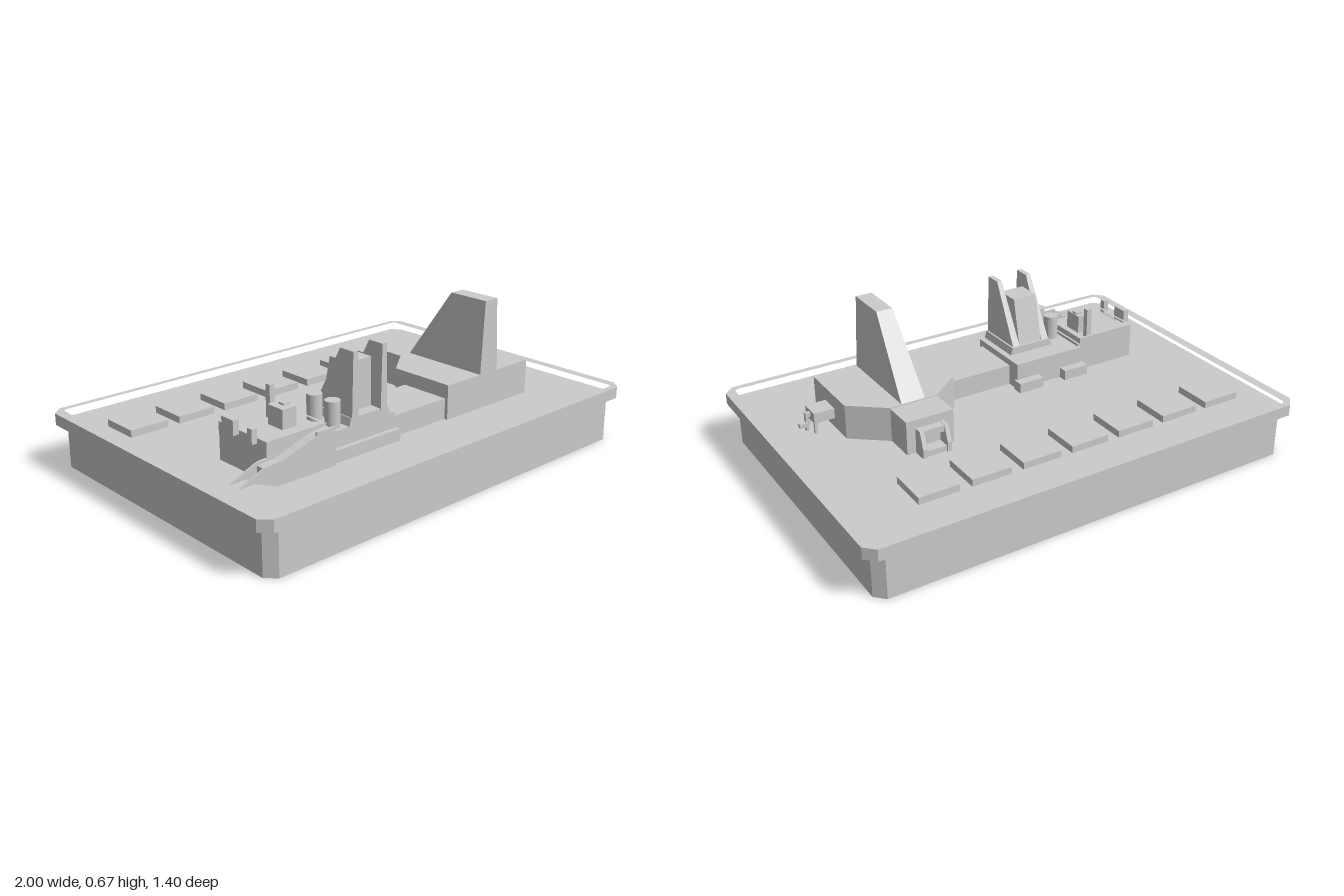
import * as THREE from 'three';

const mat = new THREE.MeshStandardMaterial({ color: 0xcccccc, flatShading: true });
const FLOOR = 0.2;

function add(parent, name, geo) {
  const m = new THREE.Mesh(geo, mat);
  m.name = name;
  parent.add(m);
  return m;
}

function group(parent, name) {
  const g = new THREE.Group();
  g.name = name;
  parent.add(g);
  return g;
}

// Box given by its limits on each axis
function box(parent, name, x0, x1, y0, y1, z0, z1) {
  const geo = new THREE.BoxGeometry(x1 - x0, y1 - y0, z1 - z0);
  geo.translate((x0 + x1) / 2, (y0 + y1) / 2, (z0 + z1) / 2);
  return add(parent, name, geo);
}

const toShape = (pts) => new THREE.Shape(pts.map(([a, b]) => new THREE.Vector2(a, b)));
const extrude = (shape, depth) => new THREE.ExtrudeGeometry(shape, { depth, bevelEnabled: false });

// Plan outline (x, z) raised from y0 to y1
function plan(pts, y0, y1, hole) {
  const shape = toShape(pts.map(([x, z]) => [x, -z]));
  if (hole) shape.holes.push(new THREE.Path(hole.map(([x, z]) => new THREE.Vector2(x, -z))));
  return extrude(shape, y1 - y0).rotateX(-Math.PI / 2).translate(0, y0, 0);
}

// Side profile (z, y) running from x0 to x1
const sideProfile = (pts, x0, x1) =>
  extrude(toShape(pts), x1 - x0).rotateY(-Math.PI / 2).translate(x1, 0, 0);

// Front profile (x, y) running from z0 to z1
const frontProfile = (pts, z0, z1) => extrude(toShape(pts), z1 - z0).translate(0, 0, z0);

// Rectangle with cut corners
const cutRect = (w, d, c) => [
  [-w + c, -d], [w - c, -d], [w, -d + c], [w, d - c],
  [w - c, d], [-w + c, d], [-w, d - c], [-w, -d + c],
];

// Narrow a geometry in x around cx, from full width at y0 to scale s at y1
function taper(geo, cx, y0, y1, s) {
  const p = geo.attributes.position;
  for (let i = 0; i < p.count; i++) {
    const t = (p.getY(i) - y0) / (y1 - y0);
    p.setX(i, cx + (p.getX(i) - cx) * (1 + (s - 1) * t));
  }
  geo.computeVertexNormals();
  return geo;
}

function buildBase(root) {
  const g = group(root, 'base');
  add(g, 'basePlinth', plan(cutRect(0.96, 0.675, 0.04), 0, 0.195));
  add(g, 'baseFloor', plan(cutRect(0.99, 0.69, 0.04), 0.191, FLOOR));
  add(g, 'baseRim', plan(cutRect(1, 0.7, 0.042), 0.19, 0.24, cutRect(0.957, 0.672, 0.012)));
  for (let i = 0; i < 7; i++) {
    const x = -0.862 + i * 0.2285;
    box(g, 'floorTile', x, x + 0.175, FLOOR, 0.23, -0.48, -0.308);
  }
}

function buildHall(root) {
  const g = group(root, 'towerHall');
  add(g, 'hall', plan([
    [0.2, 0.4], [0.7, 0.4], [0.7, 0.1], [0.555, -0.015], [0.345, -0.015], [0.2, 0.1],
  ], FLOOR, 0.35));
  box(g, 'rearWing', 0.345, 0.555, FLOOR, 0.346, -0.148, 0);
  const tower = sideProfile([[0.4, 0.35], [0.4, 0.665], [0.21, 0.665], [-0.01, 0.35]], 0.397, 0.503);
  add(g, 'tower', taper(tower, 0.45, 0.35, 0.665, 0.68));

  // Rear porch
  const cheek = [[-0.14, FLOOR], [-0.14, 0.31], [-0.185, 0.31], [-0.208, 0.24], [-0.208, FLOOR]];
  for (const x of [0.388, 0.498]) add(g, 'porchCheek', sideProfile(cheek, x, x + 0.018));
  box(g, 'porchLintel', 0.4, 0.505, 0.28, 0.308, -0.183, -0.14);
  box(g, 'porchSill', 0.4, 0.505, FLOOR, 0.225, -0.2, -0.14);

  // Side table with legs and an outlet pipe
  box(g, 'sideTable', 0.7, 0.79, 0.245, 0.29, 0.205, 0.292);
  for (const z of [0.205, 0.28]) box(g, 'tableLeg', 0.778, 0.79, FLOOR, 0.25, z, z + 0.012);
  box(g, 'outletPipe', 0.785, 0.812, 0.262, 0.28, 0.24, 0.258);
  box(g, 'outletDrop', 0.8, 0.812, FLOOR, 0.28, 0.24, 0.258);
  box(g, 'outletFoot', 0.805, 0.84, 0.22, 0.238, 0.238, 0.258);
}

function buildMainBlock(root) {
  const g = group(root, 'twinFinBlock');
  box(g, 'connectingHall', -0.12, 0.21, FLOOR, 0.29, 0.155, 0.385);
  box(g, 'mainPlinth', -0.457, -0.1, FLOOR, 0.25, 0.25, 0.427);
  box(g, 'mainBody', -0.45, -0.112, FLOOR, 0.318, 0.092, 0.405);
  for (const x of [-0.457, -0.222]) box(g, 'rearStep', x, x + 0.12, FLOOR, 0.245, 0.052, 0.1);
  add(g, 'finFooting', taper(
    sideProfile([[0.407, 0.31], [0.407, 0.35], [0.187, 0.35], [0.187, 0.31]], -0.355, -0.137),
    -0.246, 0.31, 0.35, 0.9));

  // Core between two mirrored fins
  add(g, 'finCore', sideProfile(
    [[0.355, 0.34], [0.355, 0.55], [0.245, 0.55], [0.2, 0.34]], -0.306, -0.192));
  for (const s of [-1, 1]) {
    const cx = -0.248 + s * 0.075;
    const fin = sideProfile(
      [[0.408, 0.34], [0.408, 0.61], [0.335, 0.61], [0.19, 0.34]], cx - 0.017, cx + 0.017);
    add(g, 'fin', taper(fin, cx, 0.34, 0.61, 0.66));
  }

  // Chimneys
  for (const z of [0.257, 0.36]) {
    const geo = new THREE.CylinderGeometry(0.031, 0.031, 0.115, 20).translate(-0.396, 0.3675, z);
    add(g, 'chimney', geo);
  }
}

function buildPlatform(root) {
  const g = group(root, 'loadingPlatform');
  box(g, 'platform', -0.735, -0.44, FLOOR, 0.33, 0.105, 0.385);
  const outer = [[-0.735, 0.103], [-0.45, 0.103], [-0.45, 0.387], [-0.735, 0.387]];
  const inner = [[-0.724, 0.114], [-0.461, 0.114], [-0.461, 0.376], [-0.724, 0.376]];
  add(g, 'platformParapet', plan(outer, 0.3, 0.355, inner));

  // Roof fittings
  box(g, 'roofCabin', -0.578, -0.51, 0.32, 0.41, 0.2, 0.287);
  box(g, 'cabinCap', -0.545, -0.515, 0.405, 0.418, 0.225, 0.255);
  box(g, 'roofPost', -0.536, -0.511, 0.32, 0.465, 0.137, 0.162);
  box(g, 'endPanel', -0.763, -0.736, 0.34, 0.4, 0.16, 0.23);
  box(g, 'endPost', -0.76, -0.736, 0.335, 0.395, 0.31, 0.335);

  // Sloping conveyor with a thin guard on each side
  const guard = [
    [-0.9, 0.24], [-0.83, 0.24], [-0.73, FLOOR], [-0.452, FLOOR], [-0.452, 0.356],
    [-0.54, 0.356], [-0.545, 0.342], [-0.7, 0.295], [-0.775, 0.29],
  ];
  add(g, 'conveyorGuard', frontProfile(guard, 0.377, 0.387));
  add(g, 'conveyorGuard', frontProfile(guard.map(([x, y]) => [Math.max(x, -0.9), y]), 0.43, 0.44));
  add(g, 'conveyorBed', frontProfile([
    [-0.78, 0.25], [-0.7, FLOOR], [-0.455, FLOOR], [-0.455, 0.345],
    [-0.54, 0.335], [-0.7, 0.285], [-0.78, 0.278],
  ], 0.385, 0.432));
}

export function createModel() {
  const root = new THREE.Group();
  root.name = 'industrialSite';
  buildBase(root);
  buildHall(root);
  buildMainBlock(root);
  buildPlatform(root);
  return root;
}
